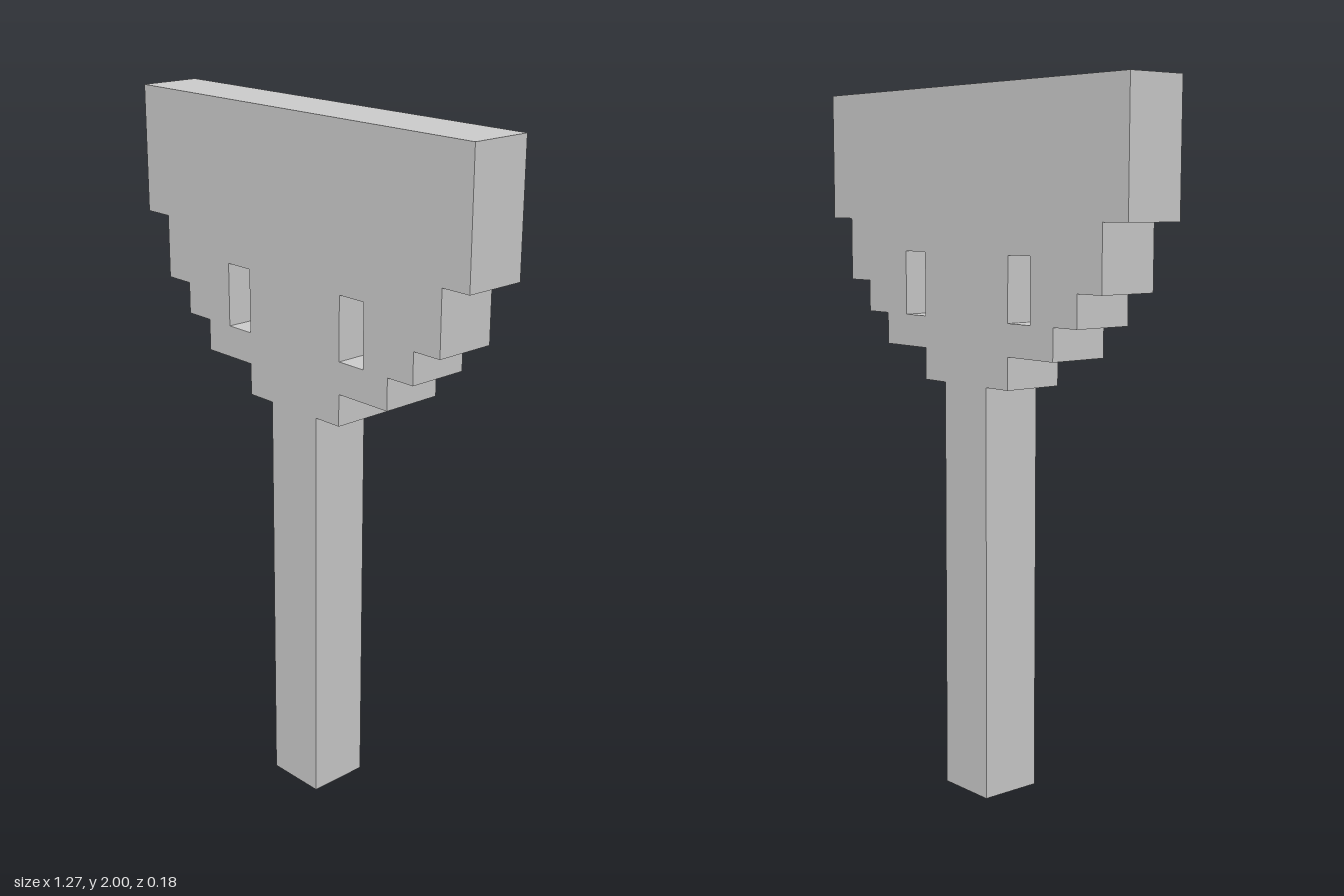
import * as THREE from 'three';

const U = 1 / 11; // one block of the stepped design

export function createModel() {
  const group = new THREE.Group();
  const material = new THREE.MeshStandardMaterial({ color: 0xcccccc, flatShading: true });

  function addSlab(name, shape) {
    const geometry = new THREE.ExtrudeGeometry(shape, { depth: 2, bevelEnabled: false });
    geometry.translate(0, 0, -1);
    geometry.scale(U, U, U);
    const mesh = new THREE.Mesh(geometry, material);
    mesh.name = name;
    group.add(mesh);
  }

  // Stepped head and handle as one silhouette: [half width, bottom, top] per tier, in blocks
  const tiers = [[1, 0, 13], [2, 13, 14], [4, 14, 15], [5, 15, 16], [6, 16, 18], [7, 18, 22]];
  const rightSide = tiers.flatMap(([w, y0, y1]) => [new THREE.Vector2(w, y0), new THREE.Vector2(w, y1)]);
  const leftSide = rightSide.map((p) => new THREE.Vector2(-p.x, p.y)).reverse();
  const outline = new THREE.Shape([...rightSide, ...leftSide]);

  // Mirrored pair of slots through the head
  for (const side of [-1, 1]) {
    const slot = [[2, 15], [2, 17], [3, 17], [3, 15]];
    outline.holes.push(new THREE.Path(slot.map(([x, y]) => new THREE.Vector2(side * x, y))));
  }
  addSlab('steppedHeadAndHandle', outline);

  return group;
}
